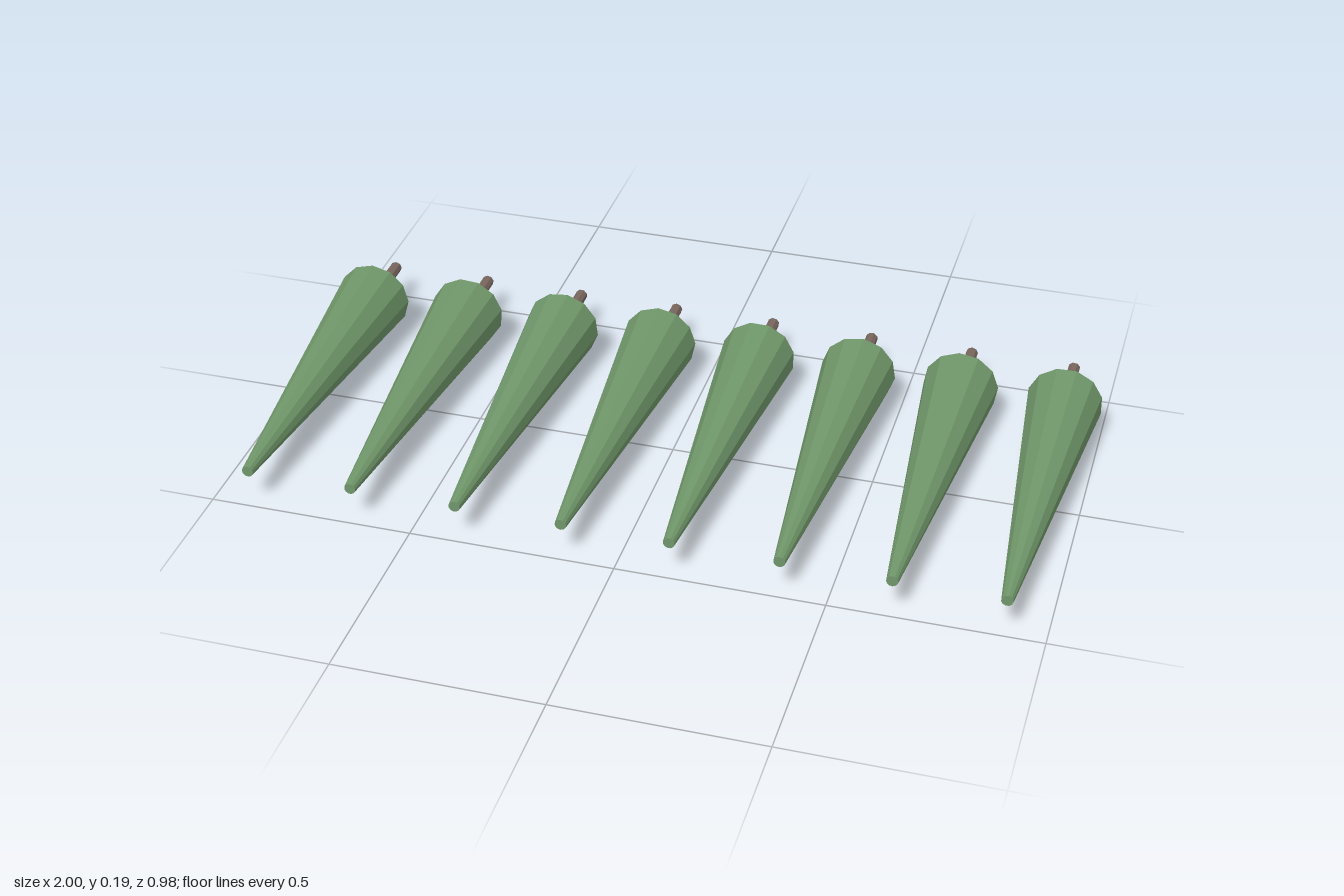
import * as THREE from 'three';

export function createModel() {
  const group = new THREE.Group();
  const green = new THREE.MeshStandardMaterial({ name: 'foliageGreen', color: 0x6f9669, flatShading: true });
  const brown = new THREE.MeshStandardMaterial({ name: 'trunkBrown', color: 0x79675e, flatShading: true });

  const count = 8, spacing = 0.2587, sides = 12, centreY = 0.093;
  const baseZ = -0.335, endZ = 0.492;

  // Tapered foliage with a small blunt tip, pointing to +z
  const foliageGeo = new THREE.CylinderGeometry(0.014, 0.0935, endZ - baseZ, sides);
  foliageGeo.rotateX(Math.PI / 2).translate(0, 0, (endZ + baseZ) / 2);

  // Thin trunk, running a little way into the foliage
  const trunkGeo = new THREE.CylinderGeometry(0.015, 0.015, 0.177, 8);
  trunkGeo.rotateX(Math.PI / 2).translate(0, 0, -0.492 + 0.177 / 2);

  // A row of trees lying down, each rolled by a different angle
  for (let i = 0; i < count; i++) {
    const tree = new THREE.Group();
    tree.name = `tree${i + 1}`;
    const foliage = new THREE.Mesh(foliageGeo, green);
    foliage.name = 'foliage';
    const trunk = new THREE.Mesh(trunkGeo, brown);
    trunk.name = 'trunk';
    tree.add(foliage, trunk);
    tree.position.set((i - (count - 1) / 2) * spacing, centreY, 0);
    tree.rotation.z = (i * 0.19) % (2 * Math.PI / sides);
    group.add(tree);
  }
  return group;
}
